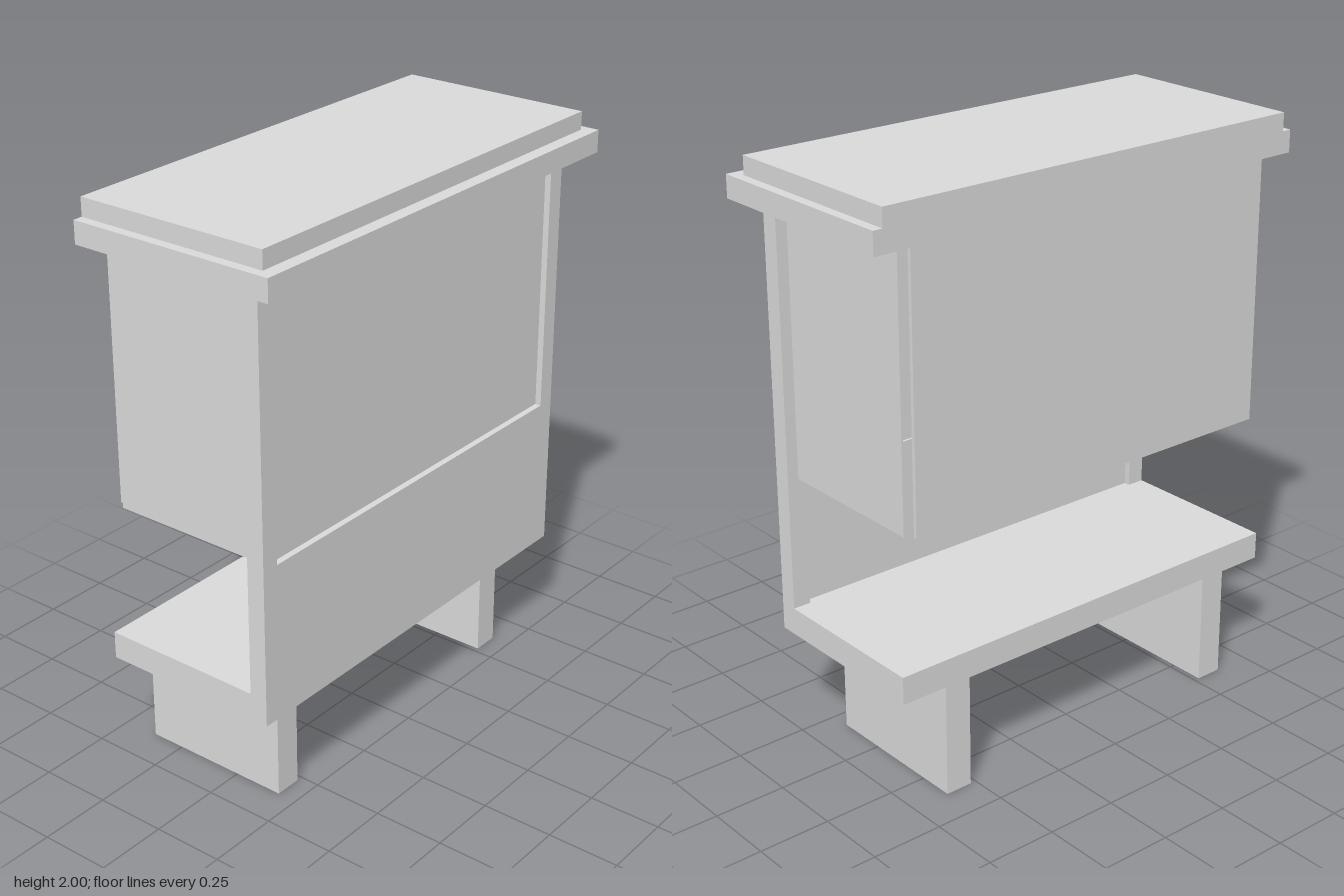
import * as THREE from 'three';

export function createModel() {
  const model = new THREE.Group();
  const grey = new THREE.MeshStandardMaterial({ color: 0xdbdbdb });
  grey.name = 'light grey';

  // Box given by its limits along each axis
  function box(name, x0, x1, y0, y1, z0, z1) {
    const mesh = new THREE.Mesh(new THREE.BoxGeometry(x1 - x0, y1 - y0, z1 - z0), grey);
    mesh.position.set((x0 + x1) / 2, (y0 + y1) / 2, (z0 + z1) / 2);
    mesh.name = name;
    model.add(mesh);
  }

  // The same box on the left and, mirrored, on the right
  function pair(name, x0, x1, ...limits) {
    box(name + 'Left', x0, x1, ...limits);
    box(name + 'Right', -x1, -x0, ...limits);
  }

  const back = -0.373;
  const post = 0.215;   // rear face of the posts
  const panel = 0.237;  // rear face of the front board
  const face = 0.279;   // front face
  const base = 0.394;   // underside of the shelf
  const sill = 0.945;   // bottom of the opening
  const eave = 1.86;    // underside of the roof

  // Two stepped roof slabs, flush at the back
  box('roofTop', -0.813, 0.813, 1.937, 2, back, 0.328);
  box('roofEave', -0.847, 0.847, eave, 1.937, back, 0.375);

  // U-shaped front board with an opening up to the roof
  const outline = new THREE.Shape([
    [-0.782, base], [0.782, base], [0.782, eave], [0.718, eave],
    [0.718, sill], [-0.718, sill], [-0.718, eave], [-0.782, eave],
  ].map(([x, y]) => new THREE.Vector2(x, y)));
  const board = new THREE.Mesh(
    new THREE.ExtrudeGeometry(outline, { depth: face - panel, bevelEnabled: false }), grey);
  board.position.z = panel;
  board.name = 'frontBoard';
  model.add(board);

  // Posts stiffening the board from behind
  pair('post', 0.718, 0.782, base, eave, post, panel);

  // Hollow cabinet, open underneath: recessed front, thin sides on the posts, loose back sheet
  box('cabinetFront', -0.718, 0.718, sill, eave, 0.246, 0.257);
  pair('cabinetSide', 0.736, 0.742, sill, eave, -0.341, post);
  box('cabinetBack', -0.718, 0.718, sill, eave, back, -0.36);

  // Shelf, running between the posts to the board
  box('shelf', -0.782, 0.782, base, 0.49, back, post);
  box('shelfInset', -0.718, 0.718, base, 0.49, post, panel);

  // Slab legs
  pair('leg', 0.52, 0.616, 0, base, back, 0.18);

  return model;
}
